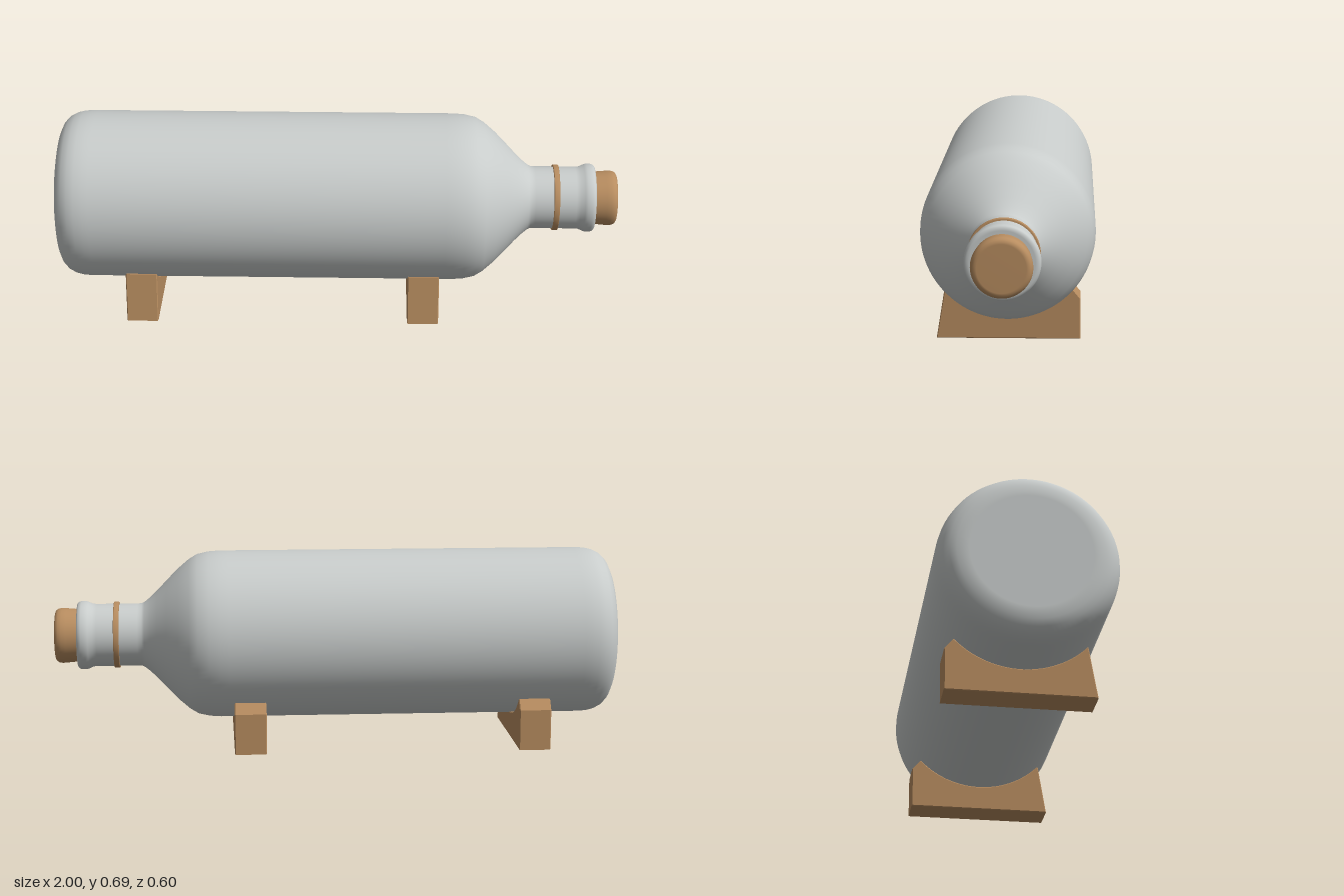
import * as THREE from 'three';

const AXIS_Y = 0.39;

export function createModel() {
  const group = new THREE.Group();
  const glass = new THREE.MeshStandardMaterial({ color: 0xc8cccb });
  glass.name = 'pale grey';
  const wood = new THREE.MeshStandardMaterial({ color: 0xb88d60 });
  wood.name = 'warm wood';

  const add = (name, geometry, material) => {
    const mesh = new THREE.Mesh(geometry, material);
    mesh.name = name;
    group.add(mesh);
    return mesh;
  };

  // Turned part lying along x, from [x, radius] pairs
  const turned = (name, profile, material) => {
    const points = profile.map(([x, r]) => new THREE.Vector2(r, x));
    const geometry = new THREE.LatheGeometry(points, 96);
    geometry.rotateZ(-Math.PI / 2);
    add(name, geometry, material).position.y = AXIS_Y;
  };

  // Bottle: base, body, shoulder, neck and lip
  turned('bottle', [
    [-1, 0], [-1, 0.2], [-1, 0.215], [-0.995, 0.24], [-0.985, 0.262], [-0.968, 0.28],
    [-0.945, 0.292], [-0.92, 0.298], [-0.89, 0.3], [-0.87, 0.3], [0.38, 0.3], [0.41, 0.3],
    [0.45, 0.297], [0.49, 0.288], [0.52, 0.27], [0.56, 0.236], [0.6, 0.195], [0.635, 0.158],
    [0.66, 0.134], [0.68, 0.118], [0.69, 0.113], [0.705, 0.112], [0.85, 0.112], [0.865, 0.113],
    [0.88, 0.12], [0.89, 0.123], [0.905, 0.123], [0.915, 0.12], [0.92, 0.113], [0.92, 0.105], [0.92, 0],
  ], glass);

  // Thin band around the neck
  turned('neckBand', [
    [0.77, 0.108], [0.77, 0.117], [0.772, 0.119], [0.788, 0.119], [0.79, 0.117], [0.79, 0.108],
  ], wood);

  // Stopper
  turned('stopper', [
    [0.91, 0.094], [0.925, 0.095], [0.96, 0.098], [0.975, 0.099], [0.987, 0.097],
    [0.995, 0.092], [0.999, 0.085], [1, 0.078], [1, 0],
  ], wood);

  // Cradle outline: chamfered block with a round seat for the bottle
  const outline = new THREE.Shape();
  outline.moveTo(-0.25, 0);
  outline.lineTo(0.25, 0);
  outline.lineTo(0.25, 0.145);
  outline.lineTo(0.221, 0.18);
  const seat = Math.atan2(-0.21, 0.217);
  outline.absarc(0, AXIS_Y, 0.302, seat, -Math.PI - seat, true);
  outline.lineTo(-0.221, 0.18);
  outline.closePath();

  const bevel = 0.003;
  const cradle = new THREE.ExtrudeGeometry(outline, {
    depth: 0.113 - 2 * bevel, curveSegments: 40,
    bevelThickness: bevel, bevelSize: bevel, bevelOffset: -bevel, bevelSegments: 1,
  });
  cradle.translate(0, 0, -0.113 / 2 + bevel);
  cradle.rotateY(Math.PI / 2);
  add('rearCradle', cradle, wood).position.x = -0.705;
  add('neckCradle', cradle, wood).position.x = 0.307;

  return group;
}
